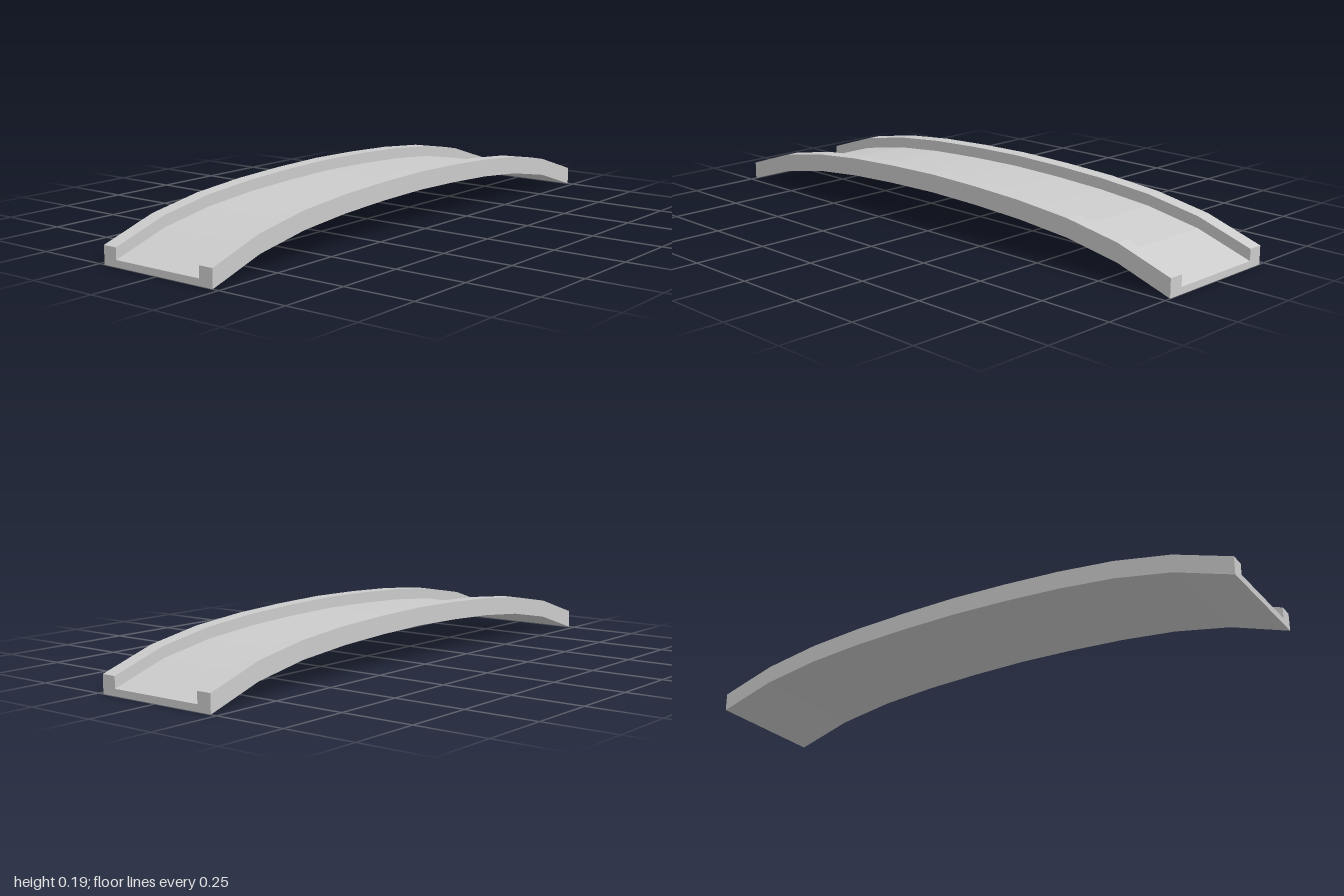
import * as THREE from 'three';

// Underside height at x = 0, 0.2, 0.4, 0.6, 0.8, 1
const ARCH = [0.13, 0.126, 0.117, 0.099, 0.064, 0];

export function createModel() {
  const group = new THREE.Group();
  group.name = 'archedBridge';

  // U-shaped cross-section: deck with a raised kerb along each side
  const outer = 0.227, inner = 0.174, deck = 0.023, kerb = 0.062;
  const section = new THREE.Shape([
    [-outer, 0], [outer, 0], [outer, kerb], [inner, kerb],
    [inner, deck], [-inner, deck], [-inner, kerb], [-outer, kerb],
  ].map(([x, y]) => new THREE.Vector2(x, y)));

  // Sweep it along x in ten spans
  const geometry = new THREE.ExtrudeGeometry(section, { depth: 2, steps: 10, bevelEnabled: false });
  geometry.translate(0, 0, -1).rotateY(Math.PI / 2);

  // Lift every station to the arch
  const pos = geometry.attributes.position;
  for (let i = 0; i < pos.count; i++) {
    const station = Math.round(Math.abs(pos.getX(i)) * 5);
    pos.setY(i, pos.getY(i) + ARCH[station]);
  }
  geometry.computeVertexNormals();

  const span = new THREE.Mesh(geometry, new THREE.MeshStandardMaterial({ color: 0xcccccc, flatShading: true }));
  span.name = 'deckWithKerbs';
  group.add(span);
  return group;
}
